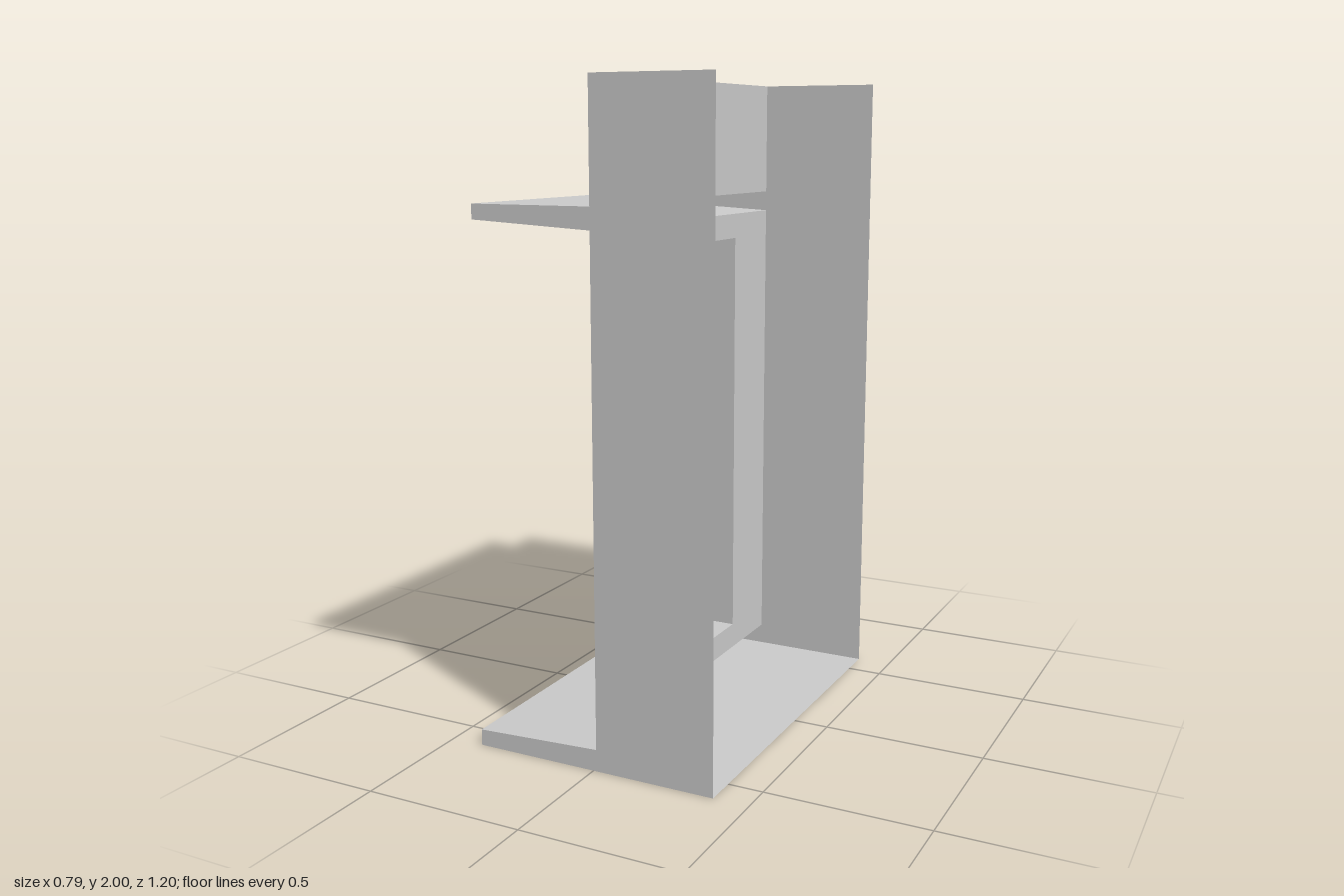
import * as THREE from 'three';

const material = new THREE.MeshStandardMaterial({ color: 0xcccccc, side: THREE.DoubleSide, flatShading: true });

function add(parent, name, geometry) {
  const mesh = new THREE.Mesh(geometry, material);
  mesh.name = name;
  parent.add(mesh);
  return mesh;
}

// Thin sheet folded along a polyline in x/y and running along z
function foldedSheet(parent, name, points, depth) {
  const group = new THREE.Group();
  group.name = name;
  for (let i = 1; i < points.length; i++) {
    const [x0, y0] = points[i - 1], [x1, y1] = points[i];
    const geometry = new THREE.PlaneGeometry(Math.hypot(x1 - x0, y1 - y0), depth);
    geometry.rotateX(Math.PI / 2);
    geometry.rotateZ(Math.atan2(y1 - y0, x1 - x0));
    geometry.translate((x0 + x1) / 2, (y0 + y1) / 2, 0);
    add(group, name + 'Face', geometry);
  }
  parent.add(group);
}

function polygon(points) {
  return new THREE.Shape(points.map(([x, y]) => new THREE.Vector2(x, y)));
}

export function createModel() {
  const model = new THREE.Group();
  model.name = 'steelFrame';
  const halfDepth = 0.6, webX = 0.01, outerX = 0.39;
  const boxX = -0.115, boxZ = 0.347, boxBottom = 0.15, boxTop = 1.5;

  // Tapered flanges, open towards the channel side, and the base sheet
  const upper = [[webX, 2], [webX, 1.645], [-0.38, 1.645], [-0.38, 1.6], [webX, 1.58]];
  const lower = [[webX, 0.067], [-0.395, 0.05], [-0.395, 0], [outerX, 0]];
  foldedSheet(model, 'upperFlange', upper, 2 * halfDepth);
  foldedSheet(model, 'lowerFlange', lower, 2 * halfDepth);

  // End sheets follow the whole frame section
  const section = polygon([...upper, ...lower, [outerX, 2]]);
  for (const side of [1, -1]) {
    add(model, side > 0 ? 'frontPlate' : 'backPlate', new THREE.ShapeGeometry(section))
      .position.z = side * halfDepth;
  }

  // Web with a rectangular opening
  const web = polygon([[-halfDepth, 0.067], [halfDepth, 0.067], [halfDepth, 1.58], [-halfDepth, 1.58]]);
  web.holes.push(polygon([[-boxZ, boxBottom], [-boxZ, boxTop], [boxZ, boxTop], [boxZ, boxBottom]]));
  add(model, 'web', new THREE.ShapeGeometry(web).rotateY(-Math.PI / 2)).position.x = webX;

  // Recessed box behind the opening
  foldedSheet(model, 'recess',
    [[webX, boxBottom], [boxX, boxBottom], [boxX, boxTop], [webX, boxTop]], 2 * boxZ);
  for (const side of [1, -1]) {
    add(model, 'recessSide', new THREE.PlaneGeometry(webX - boxX, boxTop - boxBottom))
      .position.set((webX + boxX) / 2, (boxTop + boxBottom) / 2, side * boxZ);
  }

  // Bolted angle brackets joining the box to the web on both sides
  for (const side of [1, -1]) {
    const bracket = new THREE.Group();
    bracket.name = side > 0 ? 'frontBracket' : 'backBracket';
    const t = 0.012, y = 0.82, height = 1.28;
    add(bracket, 'boxLeg', new THREE.BoxGeometry(0.095, height, t))
      .position.set(-0.0375, y, side * (boxZ + t / 2));
    add(bracket, 'webLeg', new THREE.BoxGeometry(t, height, 0.14))
      .position.set(webX - t / 2, y, side * (boxZ + 0.07));
    for (const boltY of [1.395, 1.175, 0.96, 0.73, 0.5, 0.26]) {
      const boxBolt = add(bracket, 'boxBolt', new THREE.CylinderGeometry(0.031, 0.031, 0.02, 6)
        .rotateY(Math.PI / 2).rotateX(Math.PI / 2));
      boxBolt.position.set(-0.045, boltY, side * (boxZ + t + 0.01));
      const webBolt = add(bracket, 'webBolt', new THREE.CylinderGeometry(0.031, 0.031, 0.018, 6)
        .rotateZ(Math.PI / 2));
      webBolt.position.set(webX - t - 0.009, boltY, side * 0.425);
    }
    model.add(bracket);
  }
  return model;
}
